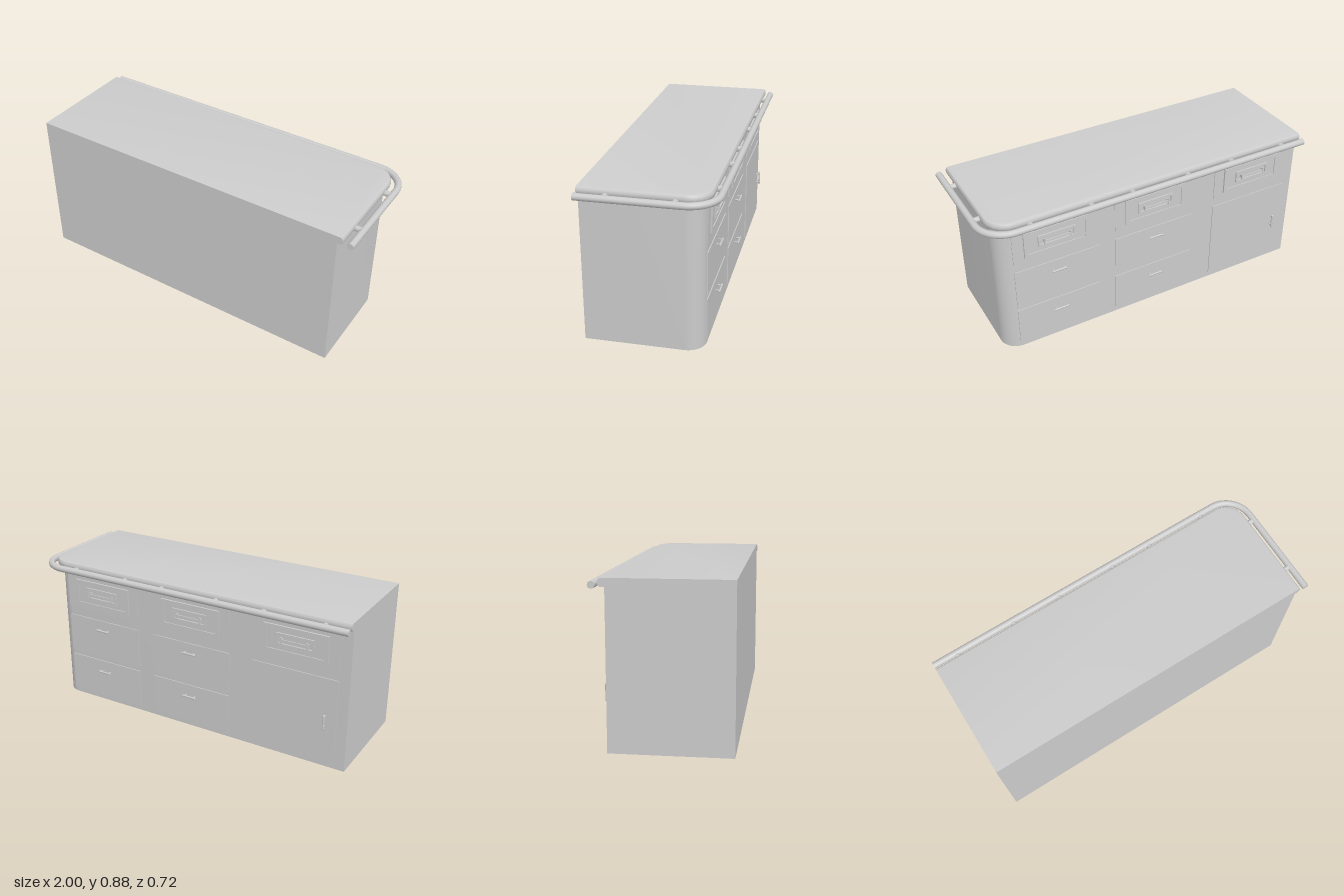
import * as THREE from 'three';
import { toCreasedNormals } from 'three/addons/utils/BufferGeometryUtils.js';
import { ConvexGeometry } from 'three/addons/geometries/ConvexGeometry.js';

const mat = new THREE.MeshStandardMaterial({ color: 0xcccccc, side: THREE.DoubleSide });
const LEFT = 0.91, FRONT = 0.36, BACK = -0.275, RIGHT = -1, WALL_TOP = 0.83;

function add(parent, name, geo, x = 0, y = 0, z = 0) {
  const m = new THREE.Mesh(geo, mat);
  m.name = name;
  m.position.set(x, y, z);
  parent.add(m);
  return m;
}

// Plan outline as [x, z] with one rounded corner at the back left
function outline(x0, x1, zFront, zBack, r, n = 12) {
  const pts = [[x0, zFront], [x1, zFront]];
  for (let i = 0; i <= n; i++) {
    const a = (i / n) * Math.PI / 2;
    pts.push([x1 - r + r * Math.cos(a), zBack + r - r * Math.sin(a)]);
  }
  pts.push([x0, zBack]);
  return pts;
}
const planPoints = (pts) => pts.map(([x, z]) => new THREE.Vector2(x, -z));

// Straight pull bar on two short posts, projecting towards -z
function pull(parent, name, x, y, vertical) {
  const g = new THREE.Group();
  g.name = name;
  const bar = add(g, 'pullBar', new THREE.CapsuleGeometry(0.006, 0.08, 4, 8), 0, 0, -0.024);
  bar.rotation.z = Math.PI / 2;
  for (const s of [-1, 1]) {
    const post = add(g, 'pullPost', new THREE.CylinderGeometry(0.004, 0.004, 0.024, 8), s * 0.03, 0, -0.012);
    post.rotation.x = Math.PI / 2;
  }
  if (vertical) g.rotation.z = Math.PI / 2;
  g.position.set(x, y, BACK - 0.003);
  parent.add(g);
}

// Flat panel lying on the back face, between heights y0 and y1
function panel(parent, name, x, y0, y1, w, out, base = 0) {
  add(parent, name, new THREE.BoxGeometry(w, y1 - y0, out - base), x, (y0 + y1) / 2, BACK - (out + base) / 2);
}

// Rectangular picture frame on the back face
function frame(parent, name, x, y, w, h, t, base, out) {
  const rect = (S, a, b) => {
    const s = new S();
    s.moveTo(-a, -b); s.lineTo(a, -b); s.lineTo(a, b); s.lineTo(-a, b); s.closePath();
    return s;
  };
  const shape = rect(THREE.Shape, w / 2, h / 2);
  shape.holes.push(rect(THREE.Path, w / 2 - t, h / 2 - t));
  add(parent, name, new THREE.ExtrudeGeometry(shape, { depth: out - base, bevelEnabled: false }), x, y, BACK - out);
}

export function createModel() {
  const model = new THREE.Group();
  model.name = 'counter';

  // Thin cabinet walls, open underneath
  const t = 0.004;
  const walls = new THREE.Shape(planPoints(outline(RIGHT, LEFT, FRONT, BACK, 0.1)));
  walls.holes.push(new THREE.Path(planPoints(outline(RIGHT + t, LEFT - t, FRONT - t, BACK + t, 0.1 - t))));
  const wallGeo = new THREE.ExtrudeGeometry(walls, { depth: WALL_TOP, bevelEnabled: false });
  wallGeo.rotateX(-Math.PI / 2);
  add(model, 'cabinetWalls', toCreasedNormals(wallGeo, 0.5));

  // Partitions between the three bays
  for (const x of [-0.36, 0.276]) {
    add(model, 'partition', new THREE.BoxGeometry(t, WALL_TOP, FRONT - BACK - 2 * t), x, WALL_TOP / 2, (FRONT + BACK) / 2);
  }

  // Worktop with rounded back and left edges
  const slab = [];
  for (let i = 0; i <= 6; i++) {
    const a = -Math.PI / 2 + (i / 6) * Math.PI;
    const inset = 0.015 * (1 - Math.cos(a));
    for (const [x, z] of outline(RIGHT, 0.94 - inset, FRONT, -0.31 + inset, 0.125 - inset)) {
      slab.push(new THREE.Vector3(x, 0.8525 + 0.0225 * Math.sin(a), z));
    }
  }
  add(model, 'worktop', toCreasedNormals(new ConvexGeometry(slab), 0.6));

  // Rail around the back and left side
  const railY = 0.84, railX = 0.981, railZ = -0.341, r = 0.16, k = r * 0.448;
  const v = (x, z) => new THREE.Vector3(x, railY, z);
  const path = new THREE.CurvePath();
  path.add(new THREE.LineCurve3(v(RIGHT, railZ), v(railX - r, railZ)));
  path.add(new THREE.CubicBezierCurve3(v(railX - r, railZ), v(railX - k, railZ), v(railX, railZ + k), v(railX, railZ + r)));
  path.add(new THREE.LineCurve3(v(railX, railZ + r), v(railX, FRONT)));
  add(model, 'rail', new THREE.TubeGeometry(path, 120, 0.019, 12));
  add(model, 'railEnd', new THREE.CircleGeometry(0.019, 12), railX, railY, FRONT);
  add(model, 'railEnd', new THREE.CircleGeometry(0.019, 12).rotateY(-Math.PI / 2), RIGHT, railY, railZ);

  // Short rail brackets
  const bracket = new THREE.CylinderGeometry(0.016, 0.016, 0.06, 10);
  for (const x of [-0.86, -0.51, -0.22, 0.13, 0.38, 0.73]) {
    add(model, 'railBracket', bracket, x, railY, -0.312).rotation.x = Math.PI / 2;
  }
  for (const z of [-0.14, 0.21]) {
    add(model, 'railBracket', bracket, 0.952, railY, z).rotation.z = Math.PI / 2;
  }

  // Three bays of fronts: two with drawers, one with a door
  [0.575, -0.033, -0.685].forEach((x, i) => {
    const bay = new THREE.Group();
    bay.name = 'bay' + (i + 1);
    model.add(bay);
    const w = 0.507;

    // Small top drawer with framed panel and recessed-style pull
    panel(bay, 'topDrawer', x, 0.585, 0.805, w, 0.004);
    panel(bay, 'topDrawerPanel', x, 0.61, 0.77, 0.38, 0.009, 0.004);
    frame(bay, 'topDrawerFrame', x, 0.69, 0.38, 0.16, 0.022, 0.009, 0.014);
    frame(bay, 'pullFrame', x, 0.695, 0.22, 0.07, 0.012, 0.009, 0.017);
    add(bay, 'topDrawerPull', new THREE.BoxGeometry(0.15, 0.012, 0.005), x, 0.695, BACK - 0.0265);
    for (const s of [-1, 1]) {
      add(bay, 'topPullEnd', new THREE.BoxGeometry(0.008, 0.036, 0.006), x + s * 0.075, 0.695, BACK - 0.0265);
      add(bay, 'topPullPost', new THREE.BoxGeometry(0.008, 0.018, 0.02), x + s * 0.075, 0.695, BACK - 0.018);
    }

    if (i < 2) {
      for (const [y0, y1, py] of [[0.29, 0.53, 0.475], [0.03, 0.265, 0.2]]) {
        panel(bay, 'drawerFront', x, y0, y1, w, 0.005);
        pull(bay, 'drawerPull', x, py, false);
      }
    } else {
      panel(bay, 'door', x, 0.03, 0.53, w, 0.005);
      pull(bay, 'doorPull', x - 0.19, 0.28, true);
    }
  });
  return model;
}
